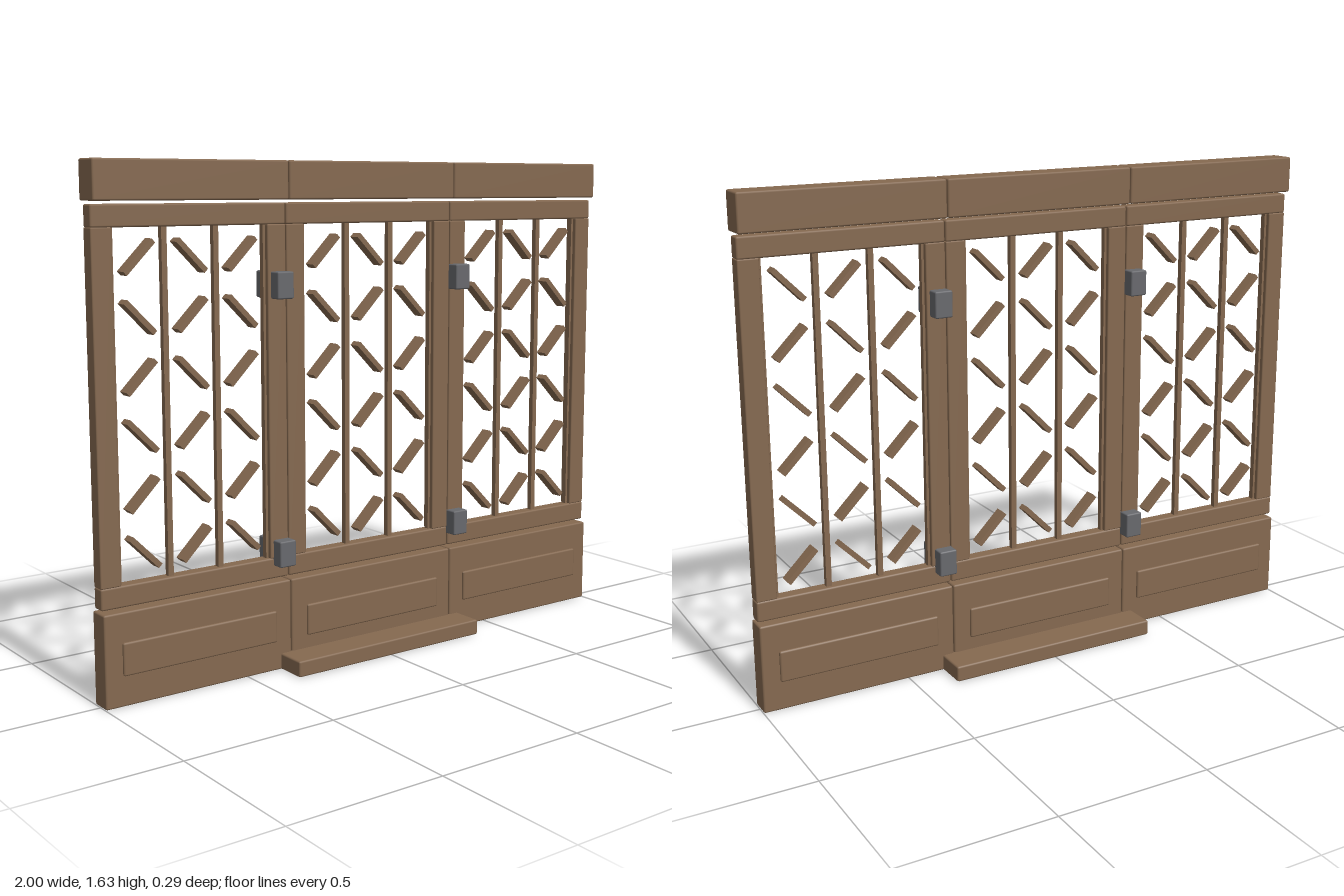
import * as THREE from 'three';
import { RoundedBoxGeometry } from 'three/addons/geometries/RoundedBoxGeometry.js';

const wood = new THREE.MeshStandardMaterial({ color: 0x856950 });
wood.name = 'brown wood';
const metal = new THREE.MeshStandardMaterial({ color: 0x68696d });
metal.name = 'grey metal';

// Box with softened edges, placed by its centre; radius 0 gives sharp edges
function block(parent, name, material, [w, h, d], [x, y, z = 0], radius = 0.006) {
  const geometry = radius
    ? new RoundedBoxGeometry(w, h, d, 1, radius)
    : new THREE.BoxGeometry(w, h, d);
  const mesh = new THREE.Mesh(geometry, material);
  mesh.name = name;
  mesh.position.set(x, y, z);
  parent.add(mesh);
  return mesh;
}

function createPanel(name, x) {
  const panel = new THREE.Group();
  panel.name = name;
  panel.position.x = x;
  const width = 0.664;

  // Solid base with a raised field on both faces
  block(panel, 'basePanel', wood, [width, 0.293, 0.074], [0, 0.1465]);
  block(panel, 'raisedField', wood, [0.548, 0.104, 0.09], [0, 0.148]);

  // Frame and header
  block(panel, 'lowerRail', wood, [width, 0.067, 0.047], [0, 0.3365]);
  block(panel, 'upperRail', wood, [width, 0.067, 0.047], [0, 1.4635]);
  block(panel, 'headerBeam', wood, [width, 0.12, 0.09], [0, 1.566]);
  for (const side of [-1, 1]) {
    block(panel, 'stile', wood, [0.067, 1.062, 0.047], [side * 0.2985, 0.9], 0.004);
  }

  // Lattice: upright bars, with alternating diagonal slats between them
  for (let i = 0; i < 4; i++) {
    block(panel, 'latticeBar', wood, [0.018, 1.06, 0.018], [(i - 1.5) * 0.177, 0.9], 0);
  }
  for (let col = 0; col < 3; col++) {
    for (let row = 0; row < 6; row++) {
      const slat = block(panel, 'latticeSlat', wood, [0.134, 0.017, 0.04],
        [(col - 1) * 0.177, 1.343 - row * 0.177], 0);
      slat.rotation.z = ((col + row) % 2 ? -1 : 1) * Math.PI / 4;
    }
  }
  return panel;
}

export function createModel() {
  const model = new THREE.Group();
  model.name = 'latticeScreen';

  model.add(createPanel('rightPanel', -0.667));
  model.add(createPanel('centrePanel', 0));
  model.add(createPanel('leftPanel', 0.667));

  // Hinges across the seams, showing on both faces
  for (const side of [-1, 1]) {
    for (const y of [0.387, 1.243]) {
      block(model, 'hinge', metal, [0.06, 0.085, 0.128], [side * 0.361, y], 0.005);
    }
  }

  // Foot under the centre panel
  block(model, 'foot', wood, [0.75, 0.053, 0.286], [0, 0.0265]);
  return model;
}
